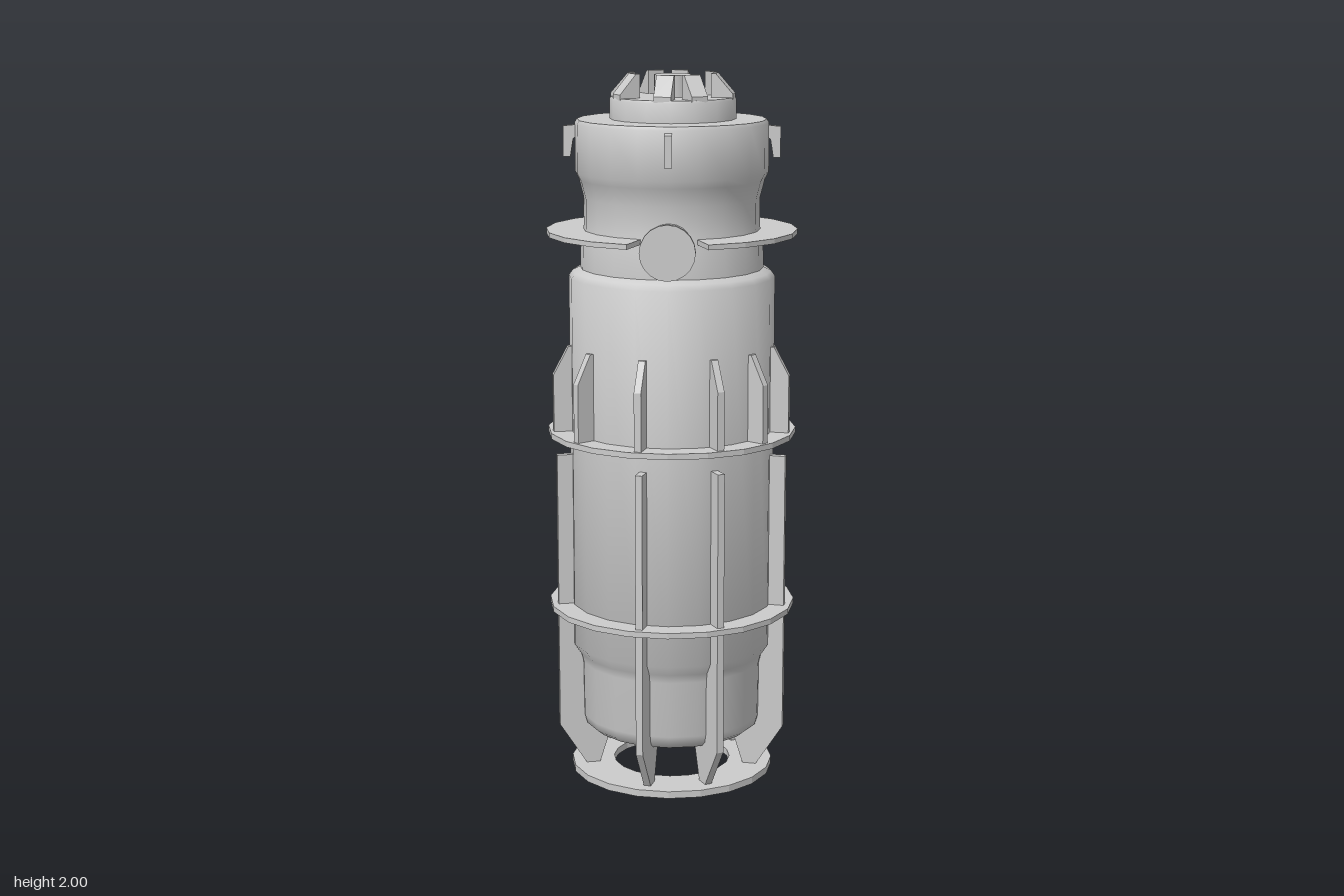
import * as THREE from 'three';
import { toCreasedNormals } from 'three/addons/utils/BufferGeometryUtils.js';

const SIDES = 20;
const DEG = Math.PI / 180;

export function createModel() {
  const group = new THREE.Group();
  const material = new THREE.MeshStandardMaterial({ color: 0xcccccc });

  const add = (name, geometry, parent = group) => {
    const mesh = new THREE.Mesh(geometry, material);
    mesh.name = name;
    parent.add(mesh);
    return mesh;
  };

  const lathe = (points, sides = SIDES) => toCreasedNormals(
    new THREE.LatheGeometry(points.map(([r, y]) => new THREE.Vector2(r, y)), sides, Math.PI / 2), 0.8);

  // Flat annulus sector lying in the horizontal plane
  const annulus = (inner, outer, thickness, from, to, steps) => {
    const at = (r, i) => {
      const a = (from + (to - from) * i / steps) * DEG;
      return new THREE.Vector2(r * Math.cos(a), r * Math.sin(a));
    };
    const rim = (r) => Array.from({ length: steps + 1 }, (_, i) => at(r, i));
    let shape;
    if (to - from >= 360) {
      shape = new THREE.Shape(rim(outer));
      shape.holes.push(new THREE.Path(rim(inner).reverse()));
    } else {
      shape = new THREE.Shape([...rim(outer), ...rim(inner).reverse()]);
    }
    return new THREE.ExtrudeGeometry(shape, { depth: thickness, bevelEnabled: false }).rotateX(-Math.PI / 2);
  };

  // Radial plates: a radius/height outline repeated at the given angles
  const plates = (name, outline, width, angles) => {
    const shape = new THREE.Shape(outline.map(([r, y]) => new THREE.Vector2(r, y)));
    const geometry = new THREE.ExtrudeGeometry(shape, { depth: width, bevelEnabled: false }).translate(0, 0, -width / 2);
    const set = new THREE.Group();
    set.name = name + 's';
    group.add(set);
    for (const a of angles) add(name, geometry, set).rotation.y = -a * DEG;
    return set;
  };
  const quarters = (...angles) => [0, 90, 180, 270].flatMap((q) => angles.map((a) => a + q));

  // Main vessel: lower cup, barrel, shoulder, neck and cap
  add('body', lathe([
    [0, 0.13], [0.235, 0.13], [0.253, 0.145], [0.26, 0.17], [0.262, 0.33], [0.268, 0.355], [0.288, 0.385],
    [0.288, 1.44], [0.277, 1.455], [0.256, 1.465], [0.254, 1.54], [0.245, 1.58],
    [0.245, 1.66], [0.258, 1.71], [0.268, 1.73], [0.268, 1.865], [0.262, 1.875], [0, 1.875],
  ]));

  // Base ring and the two full flanges
  add('baseRing', annulus(0.168, 0.29, 0.02, 0, 360, SIDES));
  add('lowerFlange', annulus(0.27, 0.35, 0.016, 0, 360, SIDES)).position.y = 0.488;
  add('middleFlange', annulus(0.27, 0.35, 0.016, 0, 360, SIDES)).position.y = 0.992;

  // Upper flange, split to clear the side pipes
  for (const start of [-72, 108]) {
    add('upperFlange', annulus(0.22, 0.35, 0.014, start, start + 144, 8)).position.y = 1.558;
  }

  // Long fins that turn into the tapered legs, unevenly spaced
  plates('legFin', [
    [0.25, 0.94], [0.25, 0.16], [0.175, 0.14], [0.215, 0.015],
    [0.25, 0.015], [0.33, 0.14], [0.33, 0.94],
  ], 0.02, [104, 64, 12, -38, -87, -114, -142, 167]);

  // Short gusset fins above the middle flange
  plates('gussetFin', [
    [0.27, 1.0], [0.338, 1.0], [0.338, 1.17], [0.295, 1.25], [0.27, 1.25],
  ], 0.02, [104, 65, 39, 12, -22, -39, -56, -71, -117, -146, 167, 139]);

  // Hooks around the cap
  plates('capHook', [
    [0.25, 1.835], [0.272, 1.82], [0.28, 1.77], [0.3, 1.77], [0.3, 1.855], [0.25, 1.86],
  ], 0.02, quarters(0));

  // Opposed side pipes with end flanges
  const pipeProfile = [
    [0.063, 0.2], [0.063, 0.345], [0.075, 0.345], [0.075, 0.362], [0, 0.362],
  ];
  for (const side of [1, -1]) {
    const pipe = add('sidePipe', lathe(pipeProfile));
    pipe.rotation.x = side * Math.PI / 2;
    pipe.position.y = 1.553;
  }

  // Top collar, centre knob and ring of slanted claws
  const crown = [
    add('topCollar', lathe([[0.175, 1.87], [0.175, 1.928], [0.171, 1.935], [0, 1.935]], 16)),
    add('topKnob', lathe([[0.052, 1.93], [0.052, 1.995], [0, 1.995]])),
    plates('topClaw', [
      [0.11, 1.93], [0.17, 1.93], [0.17, 1.945], [0.122, 2.0], [0.11, 2.0],
    ], 0.048, quarters(8, 63)),
  ];
  for (const part of crown) part.position.set(0.003, 0, -0.009);

  return group;
}
